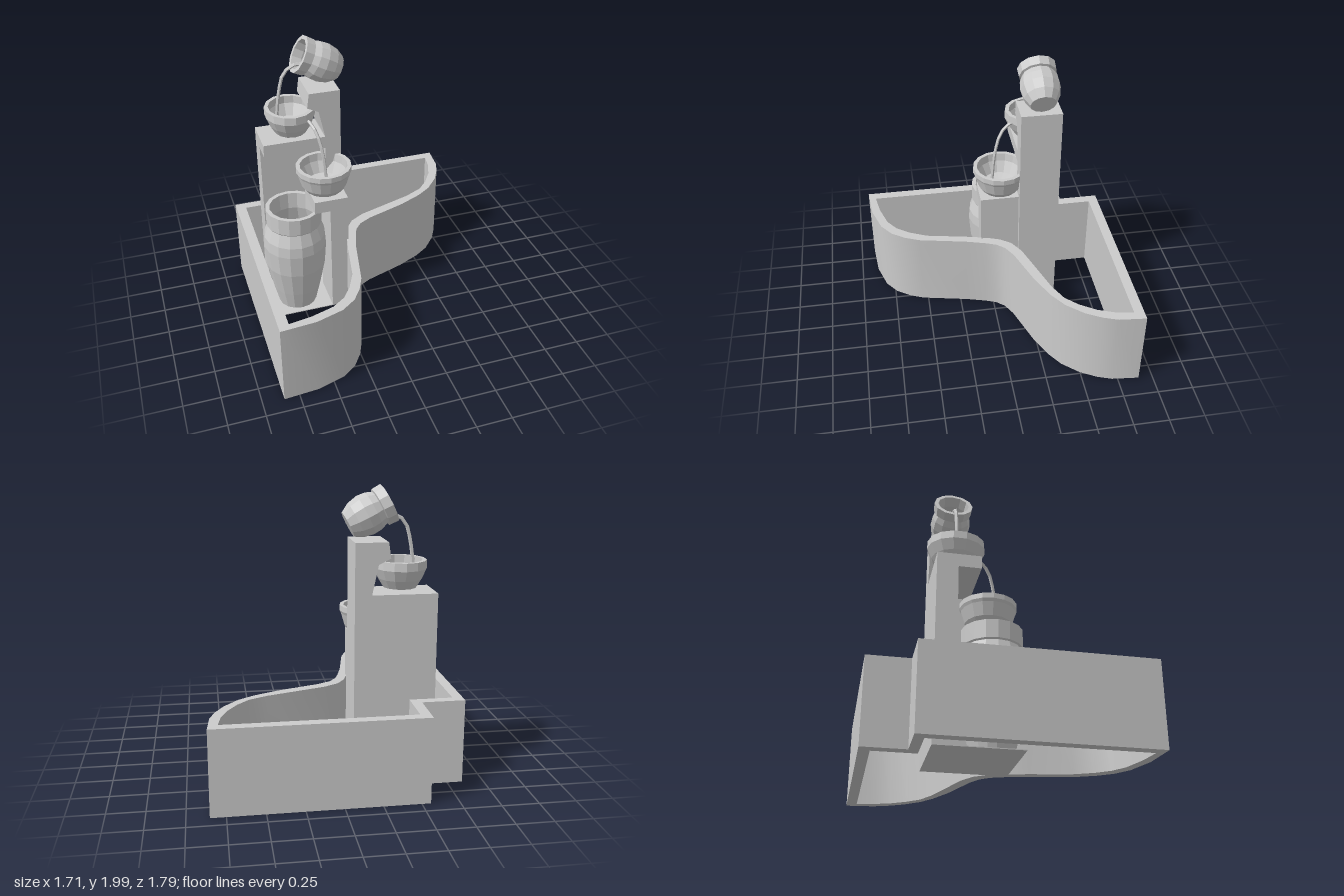
import * as THREE from 'three';
import { toCreasedNormals } from 'three/addons/utils/BufferGeometryUtils.js';

const smooth = new THREE.MeshStandardMaterial({ color: 0xcccccc });
const faceted = new THREE.MeshStandardMaterial({ color: 0xcccccc, flatShading: true });
const thin = new THREE.MeshStandardMaterial({ color: 0xcccccc, flatShading: true, side: THREE.DoubleSide });

const vecs = (list) => list.map(([a, b]) => new THREE.Vector2(a, b));

export function createModel() {
  const model = new THREE.Group();
  model.name = 'cornerFountain';

  function add(name, geometry, material) {
    const mesh = new THREE.Mesh(geometry, material);
    mesh.name = name;
    model.add(mesh);
    return mesh;
  }

  // Box given by its extents on each axis
  function block(name, [x0, x1], [y0, y1], [z0, z1]) {
    const mesh = add(name, new THREE.BoxGeometry(x1 - x0, y1 - y0, z1 - z0), faceted);
    mesh.position.set((x0 + x1) / 2, (y0 + y1) / 2, (z0 + z1) / 2);
  }

  // Faceted vessel turned from a closed [radius, height] profile
  function vessel(name, profile, sides, x, y, z) {
    const mesh = add(name, new THREE.LatheGeometry(vecs(profile), sides), faceted);
    mesh.position.set(x, y, z);
    return mesh;
  }

  // Basin wall: outline with an opposite-wound hole, plan points are [x, z]
  const plan = (list) => vecs(list.map(([x, z]) => [x, -z]));
  const wall = new THREE.Shape(plan([
    [-0.855, 0.895], [-0.855, -0.61], [-0.56, -0.61], [-0.56, -0.9], [0.853, -0.9],
    [0.835, -0.71], [0.8, -0.61], [0.74, -0.5], [0.64, -0.385], [0.53, -0.31], [0.36, -0.23],
    [0.07, -0.13], [-0.02, -0.08], [-0.07, -0.02], [-0.1, 0.06], [-0.14, 0.2], [-0.21, 0.54],
    [-0.255, 0.645], [-0.32, 0.74], [-0.42, 0.815], [-0.61, 0.875],
  ]));
  wall.holes.push(new THREE.Path(plan([
    [-0.785, 0.84], [-0.785, -0.545], [-0.49, -0.545], [-0.49, -0.83], [0.785, -0.83],
    [0.765, -0.71], [0.72, -0.59], [0.65, -0.48], [0.57, -0.395], [0.44, -0.33],
    [0.03, -0.195], [-0.07, -0.135], [-0.125, -0.06], [-0.165, 0.05], [-0.2, 0.2], [-0.255, 0.48],
    [-0.315, 0.61], [-0.38, 0.7], [-0.47, 0.765], [-0.63, 0.815],
  ]).reverse()));
  const basin = new THREE.ExtrudeGeometry(wall, { depth: 0.585, bevelEnabled: false });
  basin.rotateX(-Math.PI / 2);
  add('basinWall', toCreasedNormals(basin, 0.4), smooth);

  // Stepped stand with cantilevered shelves
  block('standFloor', [-0.68, -0.125], [0, 0.006], [-0.49, 0.08]);
  block('backPanel', [-0.68, -0.24], [0, 1.2], [-0.49, -0.35]);
  block('middleShelf', [-0.68, -0.24], [1.2, 1.29], [-0.49, -0.2]);
  block('frontPillar', [-0.29, -0.16], [0, 0.85], [-0.2, 0.08]);
  block('frontShelf', [-0.4, -0.16], [0.85, 0.94], [-0.2, 0.08]);

  // Tall pillar, cut away beside the middle bowl
  const side = new THREE.Shape(vecs([
    [-0.125, 0], [-0.125, 1.635], [-0.345, 1.635], [-0.36, 1.53], [-0.28, 1.49], [-0.24, 1.3], [-0.24, 0],
  ]));
  const pillar = new THREE.ExtrudeGeometry(side, { depth: 0.29, bevelEnabled: false });
  pillar.translate(0, 0, -0.49);
  add('tallPillar', pillar, faceted);

  // Bowls
  vessel('frontBowl', [
    [0, 0], [0.13, 0], [0.16, 0.04], [0.187, 0.13], [0.197, 0.15], [0.196, 0.187],
    [0.168, 0.187], [0.16, 0.13], [0.12, 0.05], [0, 0.03],
  ], 16, -0.288, 0.953, -0.08);
  vessel('middleBowl', [
    [0, 0], [0.125, 0], [0.165, 0.06], [0.197, 0.13], [0.194, 0.185],
    [0.165, 0.185], [0.165, 0.13], [0.12, 0.05], [0, 0.03],
  ], 14, -0.455, 1.315, -0.335).scale.set(0.9, 1, 1);

  // Large jar standing in the basin
  vessel('bottomJar', [
    [0, 0], [0.14, 0], [0.175, 0.15], [0.215, 0.35], [0.228, 0.52], [0.222, 0.6], [0.192, 0.69],
    [0.2, 0.7], [0.2, 0.824], [0.17, 0.824], [0.165, 0.7], [0.195, 0.58], [0.18, 0.3], [0.12, 0.05], [0, 0.04],
  ], 16, -0.515, 0.006, -0.1);

  // Tipped pot on the tall pillar
  vessel('tippedPot', [
    [0, 0], [0.09, 0], [0.125, 0.06], [0.14, 0.13], [0.134, 0.19], [0.115, 0.235],
    [0.132, 0.24], [0.136, 0.305], [0.108, 0.305], [0.1, 0.235], [0.112, 0.16], [0.08, 0.04], [0, 0.03],
  ], 12, -0.1, 1.735, -0.345).rotation.z = 1.1;

  // Falling water
  function stream(name, points, radius) {
    const path = new THREE.CatmullRomCurve3(points.map((p) => new THREE.Vector3(...p)));
    add(name, new THREE.TubeGeometry(path, 8, radius, 5), thin);
  }
  stream('upperWater', [
    [-0.34, 1.8, -0.345], [-0.42, 1.795, -0.345], [-0.485, 1.74, -0.345], [-0.52, 1.62, -0.345], [-0.55, 1.4, -0.345],
  ], 0.013);
  stream('lowerWater', [
    [-0.38, 1.44, -0.22], [-0.355, 1.445, -0.15], [-0.325, 1.38, -0.085], [-0.3, 1.25, -0.045], [-0.285, 1.03, -0.02],
  ], 0.012);

  return model;
}
